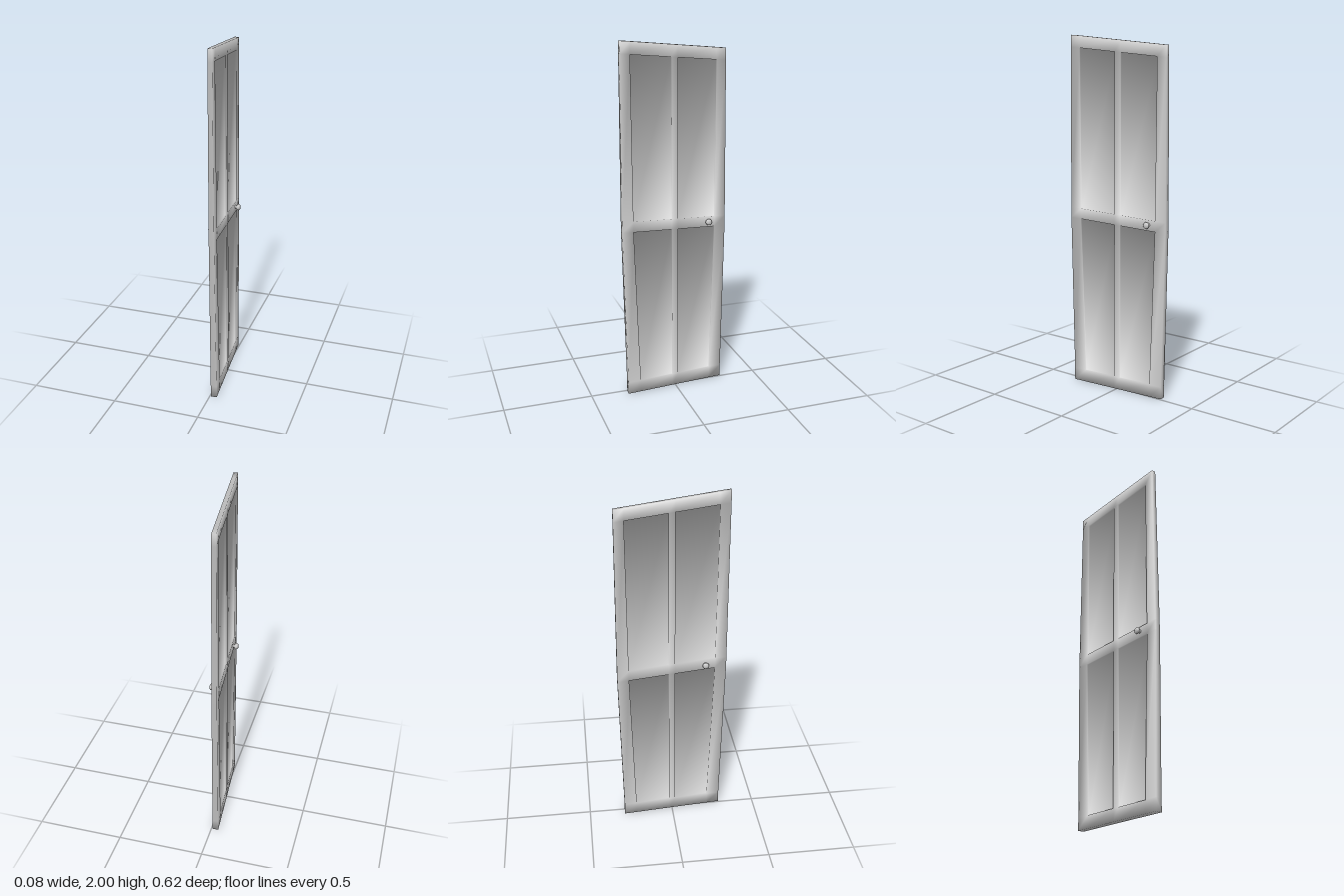
import * as THREE from 'three';

const grey = new THREE.MeshStandardMaterial({ color: 0xcccccc });

// Crooked door grid: heights at the tall and the short edge, and z per column
const rowHeights = [[0, 0], [0.07, 0.07], [0.973, 0.942], [1.033, 1.002], [1.933, 1.875], [2, 1.94]];
const columnZ = [
  [0.29, 0.215, 0.018, -0.018, -0.217, -0.29],
  [0.31, 0.245, 0.018, -0.018, -0.242, -0.307],
  [0.307, 0.25, 0.018, -0.018, -0.245, -0.3],
];
const N = 6;
const recess = 0.009;

// x of a face: the slab is turned slightly and gets thinner towards the top
const backX = (z) => -0.018 + 0.082 * z;
const surfaceX = (side, y, z) => backX(z) + (side > 0 ? 0.035 - 0.0055 * y : 0);

function gridPoint(side, row, col, depth) {
  const z = columnZ[row >> 1][col];
  const t = (0.3 - z) / 0.6;
  const [tall, short] = rowHeights[row];
  const y = Math.min(2, Math.max(0, tall + (short - tall) * t));
  return new THREE.Vector3(surfaceX(side, y, z) - side * depth, y, z);
}

function doorGeometry() {
  const points = [], normals = [], index = [];
  const addPoint = (p) => {
    normals.push(new THREE.Vector3());
    return points.push(p) - 1;
  };
  // Each quad counts equally in the shared normals, giving soft shading
  const quad = (a, b, c, d) => {
    index.push(a, b, c, a, c, d);
    const n = points[c].clone().sub(points[a]).cross(points[d].clone().sub(points[b])).normalize();
    [a, b, c, d].forEach((i) => normals[i].add(n));
  };

  const faces = [1, -1].map((side) => {
    const grid = rowHeights.map((_, r) =>
      Array.from({ length: N }, (_, c) => addPoint(gridPoint(side, r, c, 0))));
    for (let r = 0; r < N - 1; r++) {
      for (let c = 0; c < N - 1; c++) {
        const [l, m] = side > 0 ? [c, c + 1] : [c + 1, c];
        const cells = [[r, l], [r, m], [r + 1, m], [r + 1, l]];
        const rim = cells.map(([i, j]) => grid[i][j]);
        if (r % 2 && c % 2) {
          // sunken panel with four walls
          const floor = cells.map(([i, j]) => addPoint(gridPoint(side, i, j, recess)));
          quad(...floor);
          for (let k = 0; k < 4; k++) {
            const n = (k + 1) % 4;
            quad(rim[k], rim[n], floor[n], floor[k]);
          }
        } else quad(...rim);
      }
    }
    return grid;
  });

  // Outer edge band joining the two faces
  const ring = [];
  for (let k = 0; k < N - 1; k++) ring.push([0, k]);
  for (let k = 0; k < N - 1; k++) ring.push([k, N - 1]);
  for (let k = N - 1; k > 0; k--) ring.push([N - 1, k]);
  for (let k = N - 1; k > 0; k--) ring.push([k, 0]);
  const [front, back] = faces;
  ring.forEach(([r, c], k) => {
    const [r2, c2] = ring[(k + 1) % ring.length];
    quad(back[r][c], back[r2][c2], front[r2][c2], front[r][c]);
  });

  const geometry = new THREE.BufferGeometry().setFromPoints(points);
  const flat = normals.flatMap((n) => n.normalize().toArray());
  geometry.setAttribute('normal', new THREE.Float32BufferAttribute(flat, 3));
  geometry.setIndex(index);
  return geometry;
}

// Round knob with a flared foot and a narrow neck
function knob(name, side, y, z) {
  const profile = [[0.012, -0.003], [0.008, 0.007], [0.013, 0.011], [0.019, 0.018], [0.017, 0.025], [0.011, 0.03], [0, 0.031]]
    .map(([r, h]) => new THREE.Vector2(r, h));
  const mesh = new THREE.Mesh(new THREE.LatheGeometry(profile, 10), grey);
  mesh.name = name;
  mesh.rotation.z = -side * Math.PI / 2;
  mesh.position.set(surfaceX(side, y, z), y, z);
  return mesh;
}

export function createModel() {
  const group = new THREE.Group();
  group.name = 'door';
  const slab = new THREE.Mesh(doorGeometry(), grey);
  slab.name = 'panelledDoor';
  group.add(slab, knob('leftKnob', 1, 0.98, -0.2), knob('rightKnob', -1, 1.0, 0.19));
  return group;
}
